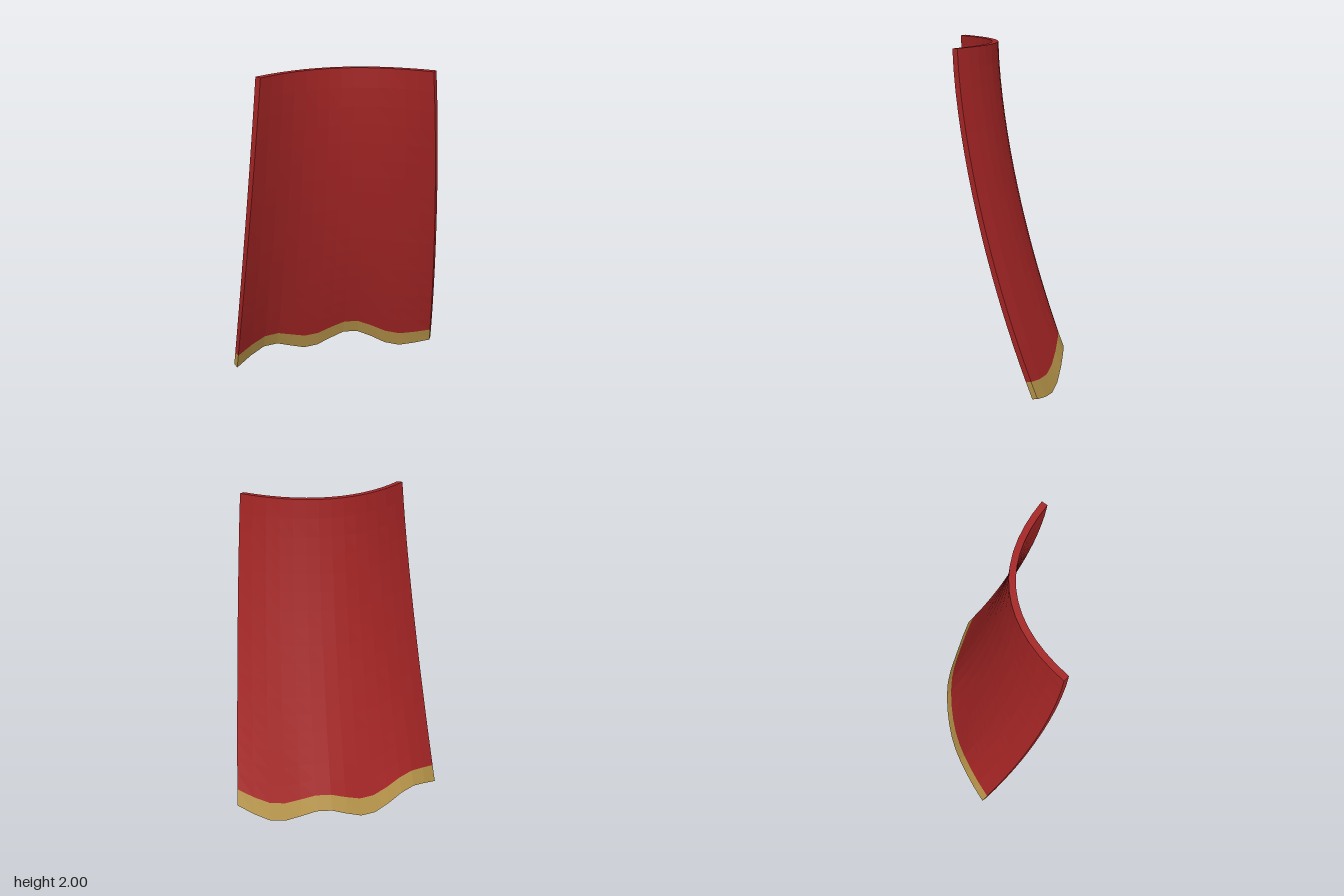
import * as THREE from 'three';

const COLS = 14, ROWS = 18, THICK = 0.035, LOOP = 2 * (COLS + 1);

// Point on the cloth: u runs across (-1..1), v runs down (0..1)
function clothPoint(u, v, offset) {
  const width = 0.455 + 0.205 * v;
  const p = new THREE.Vector3(
    u * width,
    2 - 1.95 * v + 0.05 * v ** 3 * Math.sin(7 * u), // wavy hem
    0.12 + 0.2 * u * u - 0.41 * v ** 1.6            // wraps forward, sweeps back
  );
  const across = new THREE.Vector3(width, 0, 0.4 * u);
  const down = new THREE.Vector3(0.205 * u, -1.95, -0.656 * v ** 0.6);
  const back = across.cross(down).normalize();
  if (back.z > 0) back.negate();
  return p.addScaledVector(back, offset);
}

// Solid strip of cloth between two rows, made of closed cross-section loops
function clothStrip(from, to, capTop, capBottom) {
  const pos = [], idx = [];
  for (let r = from; r <= to; r++) {
    for (let i = 0; i < LOOP; i++) {
      const front = i <= COLS;
      const col = front ? i : LOOP - 1 - i;
      const p = clothPoint((2 * col) / COLS - 1, r / ROWS, front ? 0 : THICK);
      pos.push(p.x, p.y, p.z);
    }
  }
  const quad = (a, b, c, d) => idx.push(a, b, c, a, c, d);
  const rows = to - from;
  for (let r = 0; r < rows; r++) {
    for (let i = 0; i < LOOP; i++) {
      const j = (i + 1) % LOOP, t = r * LOOP, b = t + LOOP;
      quad(t + i, b + i, b + j, t + j);
    }
  }
  for (let i = 0; i < COLS; i++) {
    const e = rows * LOOP, k = LOOP - 1 - i;
    if (capTop) quad(i, i + 1, k - 1, k);
    if (capBottom) quad(e + k, e + k - 1, e + i + 1, e + i);
  }
  const g = new THREE.BufferGeometry();
  g.setAttribute('position', new THREE.Float32BufferAttribute(pos, 3));
  g.setIndex(idx);
  const flat = g.toNonIndexed();
  flat.computeVertexNormals();
  return flat;
}

export function createModel() {
  const red = new THREE.MeshStandardMaterial({ color: 0xa62525 });
  red.name = 'red cloth';
  const gold = new THREE.MeshStandardMaterial({ color: 0xb8954a });
  gold.name = 'gold trim';

  const group = new THREE.Group();
  group.name = 'cape';
  const cloth = new THREE.Mesh(clothStrip(0, ROWS - 1, true, false), red);
  cloth.name = 'capeCloth';
  const hem = new THREE.Mesh(clothStrip(ROWS - 1, ROWS, false, true), gold);
  hem.name = 'hemTrim';
  group.add(cloth, hem);
  return group;
}
